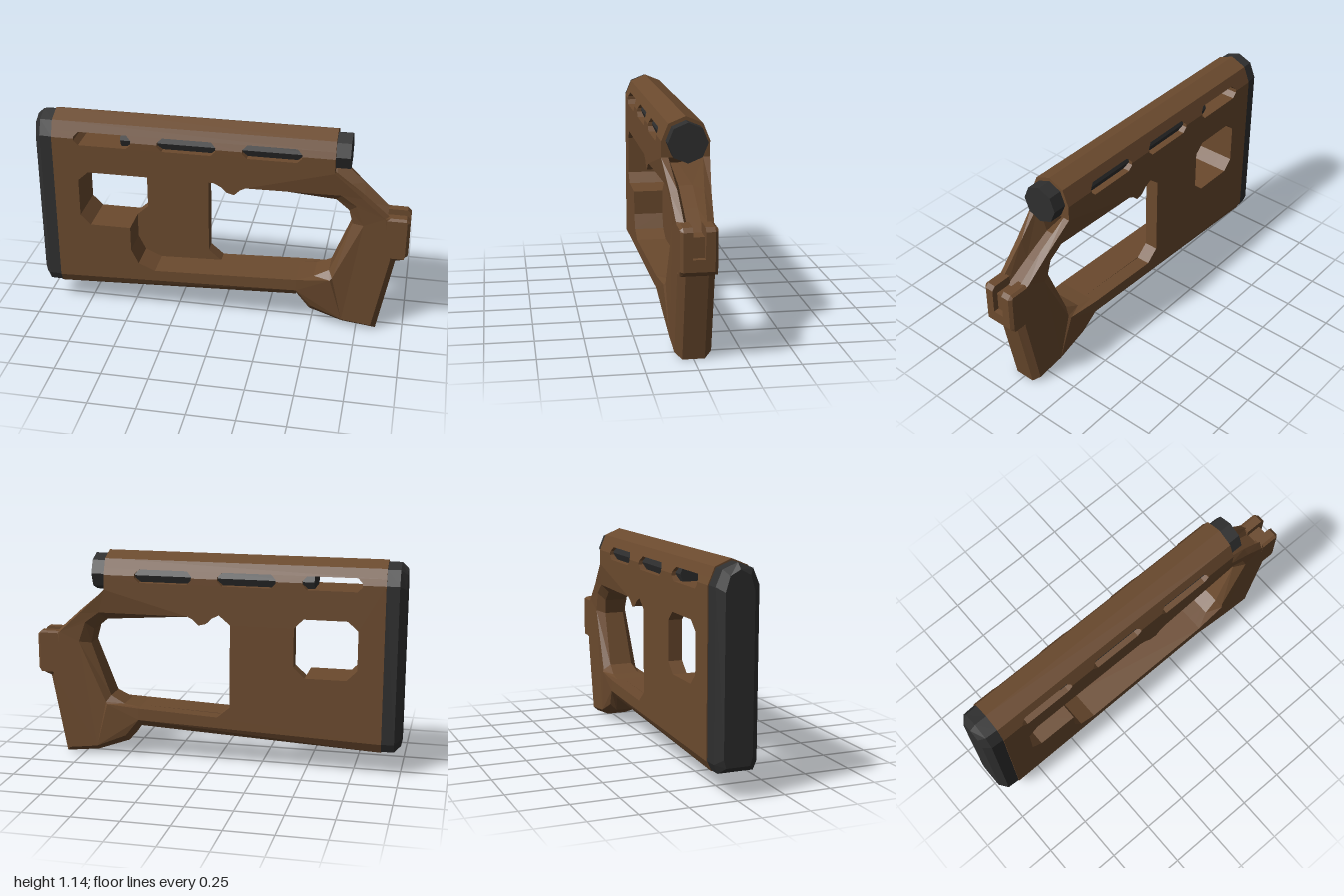
import * as THREE from 'three';

const wood = new THREE.MeshStandardMaterial({ color: 0x6b4a2e, flatShading: true });
wood.name = 'brown body';
const rubber = new THREE.MeshStandardMaterial({ color: 0x2f2f2f, flatShading: true });
rubber.name = 'dark grey';

// Skin matching rings of [x, y, z] points and cap both ends; flat() gives the cap plane
function loft(rings, flat) {
  const pos = [];
  const n = rings[0].length;
  for (let r = 0; r < rings.length - 1; r++) {
    const a = rings[r], b = rings[r + 1];
    for (let i = 0; i < n; i++) {
      const j = (i + 1) % n;
      pos.push(...a[i], ...a[j], ...b[j], ...a[i], ...b[j], ...b[i]);
    }
  }
  const cap = (ring, flip) => {
    const contour = ring.map((p) => new THREE.Vector2(...flat(p)));
    for (const [a, b, c] of THREE.ShapeUtils.triangulateShape(contour, [])) {
      pos.push(...ring[a], ...ring[flip ? c : b], ...ring[flip ? b : c]);
    }
  };
  cap(rings[0], true);
  cap(rings[rings.length - 1], false);
  const g = new THREE.BufferGeometry();
  g.setAttribute('position', new THREE.Float32BufferAttribute(pos, 3));
  g.computeVertexNormals();
  return g;
}
const xy = (p) => [p[0], p[1]];
const yz = (p) => [p[1], p[2]];

// Symmetric block whose half width depends on height
const block = (pts, width) => loft([-1, 1].map((s) => pts.map(([x, y]) => [x, y, s * width(x, y)])), xy);

// Flat plate between two depths, with optional holes
function plate(pts, z0, z1, holes = []) {
  const vec = (list) => list.map((p) => new THREE.Vector2(...p));
  const shape = new THREE.Shape(vec(pts));
  holes.forEach((h) => shape.holes.push(new THREE.Path(vec(h))));
  return new THREE.ExtrudeGeometry(shape, { depth: z1 - z0, bevelEnabled: false }).translate(0, 0, z0);
}

export function createModel() {
  const group = new THREE.Group();
  const add = (name, geometry, material = wood) => {
    const m = new THREE.Mesh(geometry, material);
    m.name = name;
    group.add(m);
  };

  // Side panels: shared upper edge with the lower halves of the slots
  const slots = [[-0.78, -0.47], [-0.33, -0.02], [0.12, 0.43]];
  const top = [[0.6, 0.94], [0.6, 1.02]];
  [...slots].reverse().forEach(([a, b]) => top.push(
    [b, 1.02], [b, 1.01], [b - 0.025, 0.985], [a + 0.025, 0.985], [a, 1.01], [a, 1.02]));
  top.push([-0.9, 1.02]);
  const nub = [[-0.03, 0.83], [0.01, 0.81], [0.04, 0.78], [0.08, 0.77], [0.11, 0.8], [0.14, 0.815]];
  const base = [[-0.9, 0.18], [0.42, 0.225], [0.42, 0.29]];
  const windowHole = [[-0.71, 0.515], [-0.49, 0.515], [-0.43, 0.57], [-0.43, 0.78],
    [-0.48, 0.83], [-0.71, 0.83], [-0.765, 0.78], [-0.765, 0.57]];
  add('backPanel', plate([...base, [-0.02, 0.27], [-0.09, 0.33], [-0.09, 0.78], ...nub, ...top],
    -0.12, -0.045, [windowHole]));
  add('frontPanel', plate([...base, [-0.36, 0.26], [-0.45, 0.3], [-0.49, 0.38], [-0.49, 0.515],
    [-0.71, 0.515], [-0.765, 0.57], [-0.765, 0.78], [-0.71, 0.83], ...nub, ...top], -0.045, 0.12));

  // Sloping band between the slots, then the ridged roof
  const roofWidth = (x, y) => 0.12 - (y - 1.02) * 0.412;
  const ends = [-0.9, ...slots.flat(), 0.6];
  for (let i = 0; i < ends.length; i += 2) {
    const a = ends[i], b = ends[i + 1];
    const ca = i === 0 ? 0 : 0.025, cb = i + 2 === ends.length ? 0 : 0.025;
    add('slotDivider', block([[a, 1.02], [b, 1.02], [b, 1.03], [b + cb, 1.055],
      [a - ca, 1.055], [a, 1.03]], roofWidth));
  }
  const roof = [[1.14, 0], [1.105, 0.085], [1.055, 0.1056], [1.055, -0.1056], [1.105, -0.085]];
  add('roof', loft([-0.9, 0.6].map((x) => roof.map(([y, z]) => [x, y, z])), yz));

  // Chamfered underside of the lower rail
  add('railUnderside', block([[-0.9, 0.13], [0.42, 0.19], [0.42, 0.225], [-0.9, 0.18]],
    (x, y) => (y === 0.18 || y === 0.225 ? 0.12 : 0.095)));

  // Grip frame: face x, y, half width; edge x, y; optional height along the centre
  const grip = [
    [0.42, 0.225, 0.12, 0.42, 0.19], [0.5, 0.125, 0.1, 0.49, 0.09], [0.67, 0.05, 0.09, 0.67, 0.022],
    [0.83, 0.03, 0.09, 0.855, 0], [0.91, 0.45, 0.09, 0.94, 0.45], [0.9, 0.67, 0.085, 0.94, 0.69, 0.64],
    [0.87, 0.69, 0.09, 0.89, 0.69, 0.64], [0.75, 0.8, 0.1, 0.75, 0.815, 0.72],
    [0.6, 0.94, 0.12, 0.6, 0.94, 0.8], [0.14, 0.815, 0.12, 0.14, 0.815],
    [0.64, 0.81, 0.1, 0.61, 0.77], [0.72, 0.75, 0.095, 0.68, 0.71], [0.76, 0.64, 0.09, 0.7, 0.63],
    [0.61, 0.31, 0.1, 0.59, 0.34], [0.6, 0.3, 0.11, 0.51, 0.3], [0.42, 0.29, 0.12, 0.42, 0.29],
  ];
  const face = (s) => grip.map((p) => [p[0], p[1], s * p[2]]);
  const edge = (s) => grip.map((p) => [p[3], p[4], s * (p[2] - 0.035)]);
  const centre = (s) => grip.map((p) => [p[3], p[5] ?? p[4], s * 0.035]);
  add('grip', loft([face(-1), edge(-1), centre(-1), centre(1), edge(1), face(1)], xy));

  // Forked tang at the top of the grip
  const cheek = [[0.88, 0.44], [0.93, 0.44], [0.98, 0.46], [1, 0.48], [1, 0.67], [0.98, 0.69], [0.88, 0.69]];
  const inset = cheek.map(([x, y]) => [Math.min(x, 0.985), Math.max(0.46, Math.min(y, 0.68))]);
  for (const s of [-1, 1]) {
    const rings = [[cheek, 0.03], [cheek, 0.075], [inset, 0.09]].map(([pts, z]) => pts.map(([x, y]) => [x, y, s * z]));
    add('tangCheek', loft(s > 0 ? rings : rings.reverse(), xy));
  }
  add('tangCentre', plate([[0.88, 0.44], [0.93, 0.44], [0.98, 0.46], [1, 0.48], [1, 0.54],
    [0.97, 0.54], [0.97, 0.64], [0.88, 0.64]], -0.03, 0.03));

  // Octagonal tube running inside the body
  const tube = new THREE.CylinderGeometry(0.099, 0.099, 1.205, 8);
  add('innerTube', tube.rotateZ(Math.PI / 2).translate(0.0725, 1.022, 0), rubber);

  // Butt pad with bevelled rear edge
  const half = [[1.13, 0], [1.1, 0.08], [1.02, 0.115], [0.18, 0.115], [0.135, 0.095]];
  const pad = [...half, ...half.slice(1).reverse().map(([y, z]) => [y, -z])];
  const padRing = (x, sy, sz) => pad.map(([y, z]) => [x, 0.633 + (y - 0.633) * sy, z * sz]);
  add('buttPad', loft([padRing(-1, 0.94, 0.65), padRing(-0.967, 1, 0.97), padRing(-0.9, 1, 1)], yz), rubber);

  return group;
}
